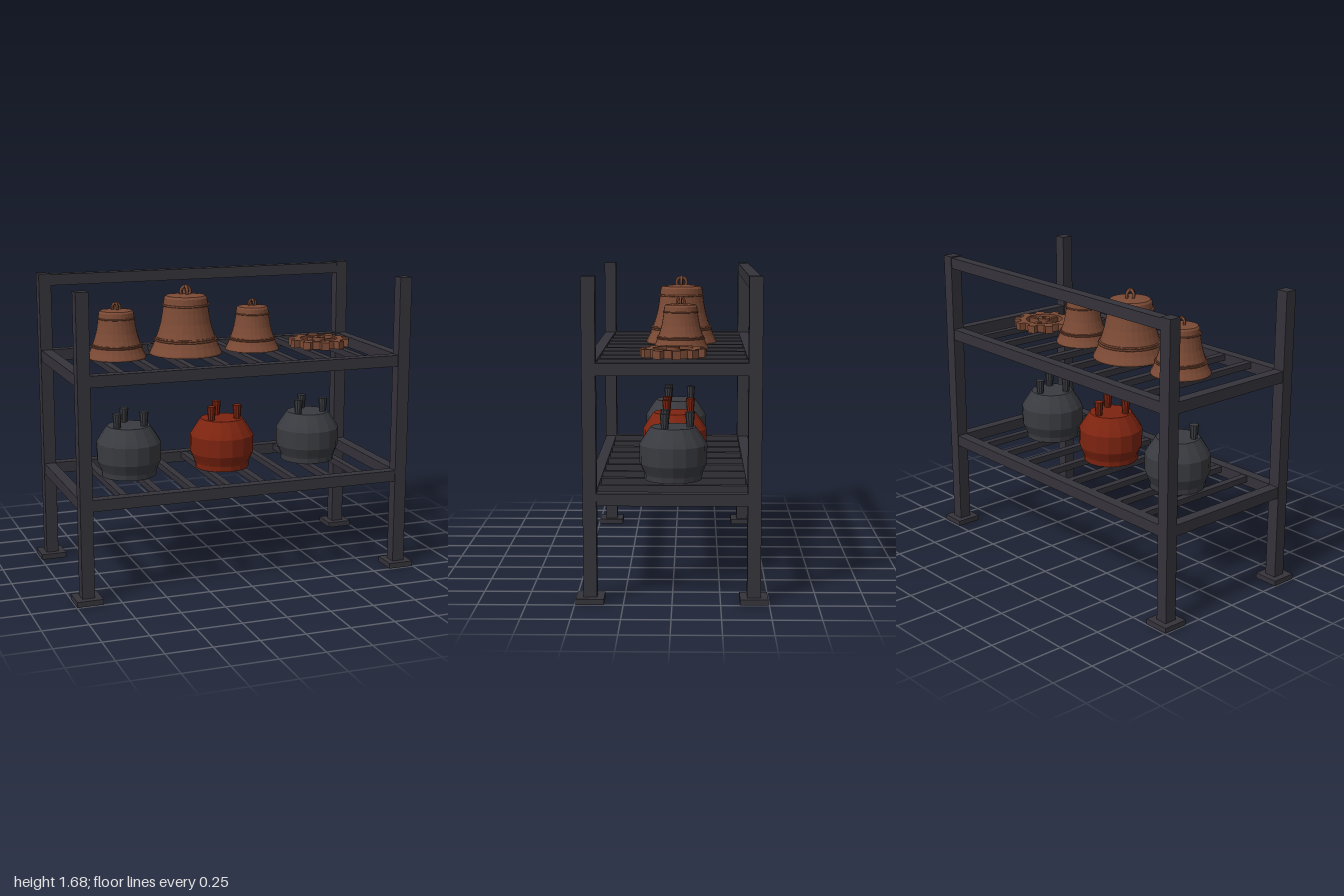
import * as THREE from 'three';

const mat = (name, color) => {
  const m = new THREE.MeshStandardMaterial({ color });
  m.name = name;
  return m;
};

export function createModel() {
  const model = new THREE.Group();
  model.name = 'storageRack';
  const frameMat = mat('darkSteel', 0x35333a);
  const potMat = mat('charcoalIron', 0x3a3b40);
  const redMat = mat('rustRed', 0x7d2410);
  const bronzeMat = mat('bronze', 0x7b4a35);

  const add = (parent, name, geometry, material, x = 0, y = 0, z = 0) => {
    const mesh = new THREE.Mesh(geometry, material);
    mesh.name = name;
    mesh.position.set(x, y, z);
    parent.add(mesh);
    return mesh;
  };
  const group = (name, x, y, z) => {
    const g = new THREE.Group();
    g.name = name;
    g.position.set(x, y, z);
    model.add(g);
    return g;
  };
  const box = (name, w, h, d, x, y, z) =>
    add(model, name, new THREE.BoxGeometry(w, h, d), frameMat, x, y, z);
  // Faceted normals
  const faceted = (geometry) => {
    const g = geometry.index ? geometry.toNonIndexed() : geometry;
    g.computeVertexNormals();
    return g;
  };
  const lathe = (points, sides) =>
    faceted(new THREE.LatheGeometry(points.map(([r, y]) => new THREE.Vector2(r, y)), sides));

  // Posts and foot plates
  const px = 0.925, pz = 0.422;
  for (const sx of [-1, 1]) for (const sz of [-1, 1]) {
    box('post', 0.07, 1.65, 0.07, sx * px, 0.855, sz * pz);
    box('footPlate', 0.145, 0.03, 0.145, sx * px, 0.015, sz * pz);
  }
  box('topRail', 1.78, 0.062, 0.062, 0, 1.643, -pz);

  // Two slatted shelves
  for (const top of [0.572, 1.242]) {
    for (const s of [-1, 1]) {
      box('longRail', 1.78, 0.063, 0.062, 0, top - 0.0315, s * pz);
      box('sideRail', 0.062, 0.063, 0.774, s * px, top - 0.0315, 0);
    }
    for (let i = 0; i < 8; i++) {
      box('slat', 0.04, 0.035, 0.784, -0.7 + i * 0.2, top - 0.02, 0);
    }
  }

  // Hollow bells, unit rim radius: inner wall down, rim, outer wall up
  const bellProfile = [
    [0, 1.5], [0.5, 1.48], [0.56, 1.1], [0.68, 0.6], [0.92, 0.02], [0.94, 0],
    [1, 0], [1, 0.04], [0.91, 0.22], [0.84, 0.4], [0.76, 0.62], [0.69, 0.86],
    [0.64, 1.14], [0.61, 1.38], [0.59, 1.54], [0.54, 1.6], [0.3, 1.63], [0, 1.64],
  ];
  const bellBands = [[0.85, 0.4], [0.825, 0.45], [0.625, 1.35]];
  const makeBell = (x, radius) => {
    const bell = group('bell', x, 1.242, -0.036);
    bell.scale.setScalar(radius);
    add(bell, 'bellBody', lathe(bellProfile, 28), bronzeMat);
    for (const [r, y] of bellBands) {
      const ring = new THREE.TorusGeometry(r, 0.028, 6, 28).rotateX(Math.PI / 2);
      add(bell, 'bellBand', ring, bronzeMat, 0, y, 0);
    }
    // Crossed crown loops
    for (const turn of [0, Math.PI / 2]) {
      const loop = new THREE.TorusGeometry(0.14, 0.042, 6, 16).rotateY(turn);
      add(bell, 'crownLoop', loop, bronzeMat, 0, 1.71, 0);
    }
  };
  makeBell(-0.608, 0.164);
  makeBell(-0.203, 0.205);
  makeBell(0.2, 0.154);

  // Spoked gear lying flat
  const gear = group('gear', 0.603, 1.242, 0);
  const polar = (r, a) => new THREE.Vector2(r * Math.cos(a), r * Math.sin(a));
  const teeth = 10, step = (Math.PI * 2) / teeth;
  const outline = [];
  for (let i = 0; i < teeth; i++) {
    const a = (i + 0.2) * step;
    for (const [r, f] of [[0.142, -0.28], [0.176, -0.2], [0.176, 0.2], [0.142, 0.28], [0.142, 0.5]]) {
      outline.push(polar(r, a + f * step));
    }
  }
  const flatExtrude = (shape, depth) => new THREE.ExtrudeGeometry(shape,
    { depth, bevelEnabled: false, curveSegments: 12 }).rotateX(-Math.PI / 2);
  const rim = new THREE.Shape(outline);
  rim.holes.push(new THREE.Path().absarc(0, 0, 0.108, 0, Math.PI * 2, true));
  add(gear, 'gearRim', flatExtrude(rim, 0.044), bronzeMat);
  const hub = new THREE.Shape().absarc(0, 0, 0.036, 0, Math.PI * 2, false);
  hub.holes.push(new THREE.Path().absarc(0, 0, 0.013, 0, Math.PI * 2, true));
  add(gear, 'gearHub', flatExtrude(hub, 0.052), bronzeMat);
  for (let i = 0; i < 4; i++) {
    const a = 0.14 + (i * Math.PI) / 2;
    const spoke = new THREE.BoxGeometry(0.09, 0.028, 0.022).translate(0.072, 0, 0).rotateY(a);
    add(gear, 'gearSpoke', spoke, bronzeMat, 0, 0.022, 0);
  }

  // Faceted vessels with three nozzles each
  const potProfile = [
    [0, 0], [0.155, 0], [0.157, 0.03], [0.163, 0.045], [0.182, 0.088],
    [0.183, 0.19], [0.162, 0.225], [0.122, 0.285], [0, 0.285],
  ];
  const makePot = (x, material) => {
    const pot = group('vessel', x, 0.572, 0);
    add(pot, 'vesselBody', lathe(potProfile, 16), material);
    for (let i = 0; i < 3; i++) {
      const a = -Math.PI / 2 + (i * Math.PI * 2) / 3;
      const nozzle = faceted(new THREE.CylinderGeometry(0.026, 0.019, 0.085, 10));
      add(pot, 'nozzle', nozzle, material, 0.09 * Math.cos(a), 0.322, 0.09 * Math.sin(a));
    }
  };
  makePot(-0.558, potMat);
  makePot(0, redMat);
  makePot(0.538, potMat);

  return model;
}
